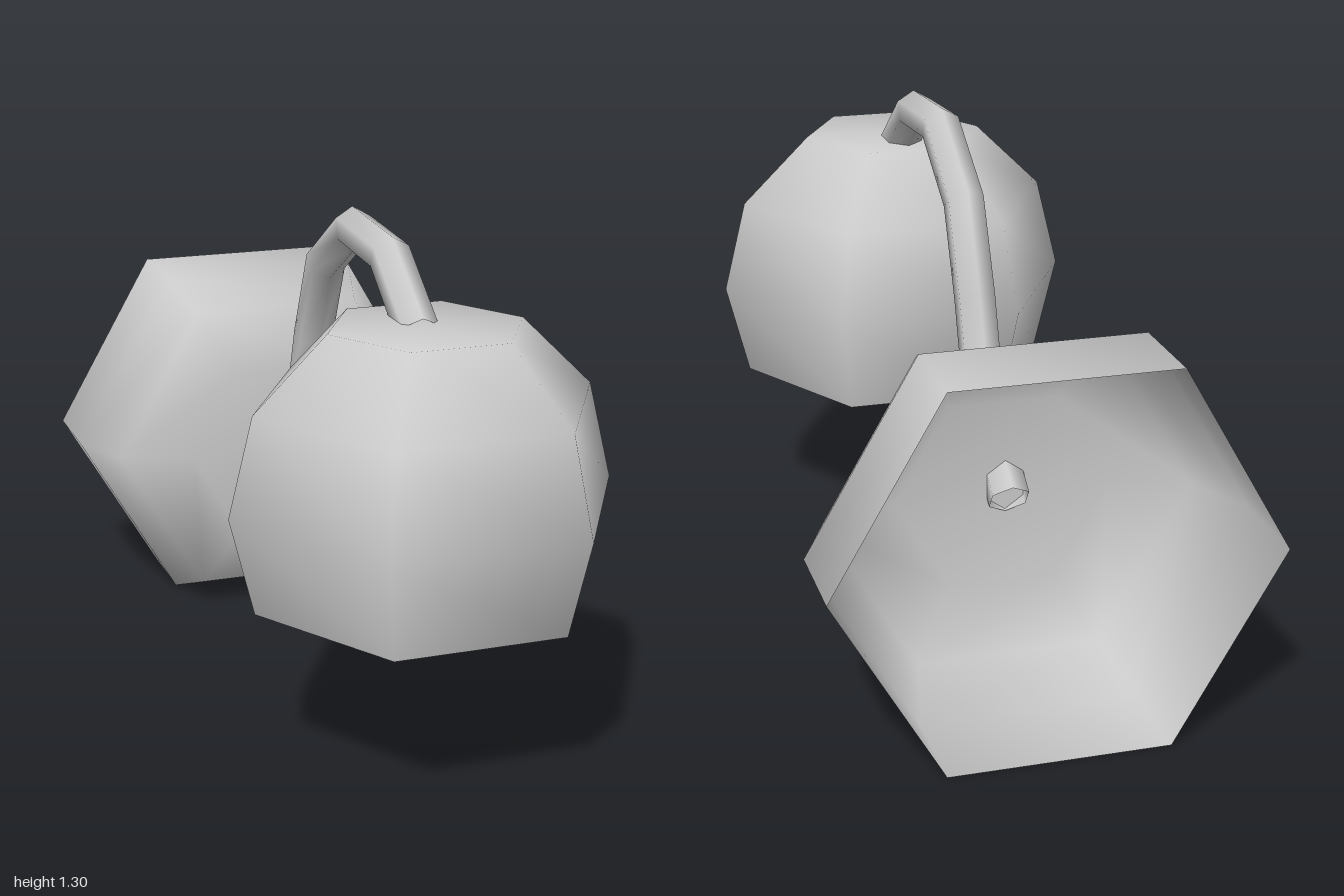
import * as THREE from 'three';

const material = new THREE.MeshStandardMaterial({ color: 0xcccccc, side: THREE.DoubleSide });

// Open six-sided bowl around the y axis, corners on the x axis; profile is [radius, y] from rim to crown
function hexBowl(name, profile) {
  const points = profile.map(([r, y]) => new THREE.Vector2(r, y));
  const mesh = new THREE.Mesh(new THREE.LatheGeometry(points, 6, Math.PI / 2), material);
  mesh.name = name;
  return mesh;
}

// Bent path in the yz plane with one tube ring at each corner
class BentPath extends THREE.Curve {
  constructor(points) {
    super();
    this.points = points;
  }
  getPointAt(u) {
    return this.points[Math.round(u * (this.points.length - 1))].clone();
  }
  getPoint(u) {
    return this.getPointAt(u);
  }
  computeFrenetFrames() {
    const p = this.points, last = p.length - 1;
    const direction = (a, b) => p[b].clone().sub(p[a]).normalize();
    const side = new THREE.Vector3(1, 0, 0);
    const tangents = p.map((_, i) =>
      direction(Math.max(i - 1, 0), Math.max(i, 1))
        .add(direction(Math.min(i, last - 1), Math.min(i + 1, last))).normalize());
    return {
      tangents,
      normals: tangents.map((t) => side.clone().cross(t)),
      binormals: tangents.map(() => side.clone()),
    };
  }
}

export function createModel() {
  const group = new THREE.Group();
  group.name = 'wallLamp';

  // Shade, open at the bottom
  const shade = hexBowl('shade', [[0.427, 0.44], [0.488, 0.685], [0.427, 0.93], [0.245, 1.108], [0, 1.108]]);
  shade.position.z = 0.577;
  group.add(shade);

  // Wall mount, open at the back
  const mount = hexBowl('wallMount', [[0.547, -1], [0.547, -0.755], [0.468, -0.585], [0.274, -0.515], [0, -0.515]]);
  mount.rotation.x = Math.PI / 2;
  mount.position.y = 0.473;
  group.add(mount);

  // Bent arm from the mount to the shade, as [y, z]
  const path = [[0.468, -0.55], [0.62, -0.334], [0.885, -0.24], [1.107, -0.136],
    [1.243, 0.086], [1.225, 0.345], [1.08, 0.54]].map(([y, z]) => new THREE.Vector3(-0.006, y, z));
  const arm = new THREE.Mesh(new THREE.TubeGeometry(new BentPath(path), path.length - 1, 0.053, 6), material);
  arm.name = 'arm';
  group.add(arm);

  return group;
}
